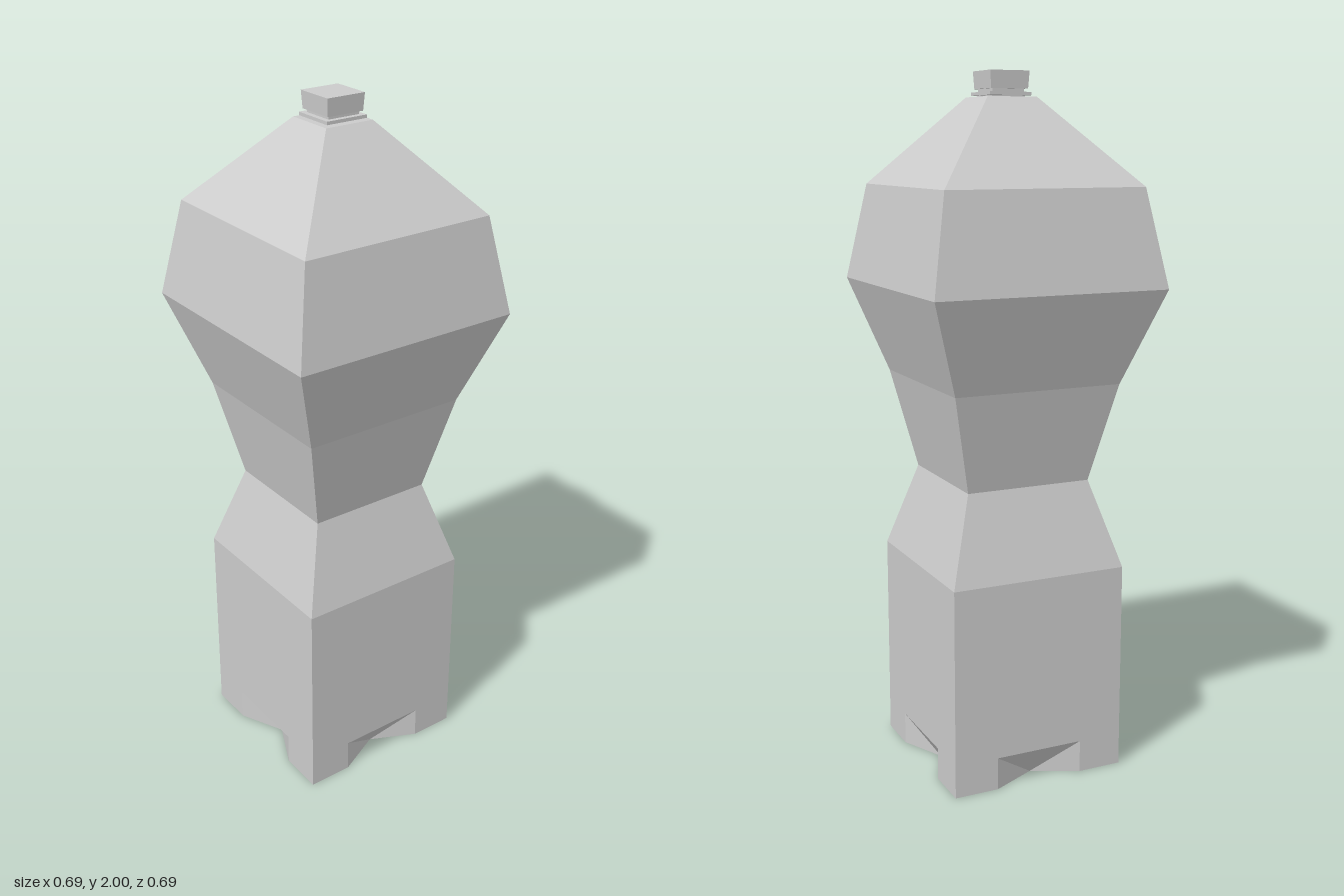
import * as THREE from 'three';

const material = new THREE.MeshStandardMaterial({ color: 0xcccccc, flatShading: true });

function part(name, geometry) {
  const mesh = new THREE.Mesh(geometry, material);
  mesh.name = name;
  return mesh;
}

// Square-section solid from [half width, height] pairs, bottom to top
function squareLoft(name, profile) {
  const points = profile.map(([w, y]) => new THREE.Vector2(w * Math.SQRT2, y));
  const geometry = new THREE.LatheGeometry(points, 4, Math.PI / 4).toNonIndexed();
  geometry.computeVertexNormals();
  return part(name, geometry);
}

const HALF = 0.263;      // half width of the base
const NOTCH = 0.132;     // half width of a foot notch
const NOTCH_H = 0.095;   // height of a foot notch
const NOTCH_IN = 0.063;  // depth of a notch at the floor

// One side of the foot: a strip whose lower middle is pushed inwards
function footSide() {
  const xs = [-HALF, -NOTCH, 0, NOTCH, HALF];
  const bottom = xs.map((x, i) => [x, 0, i === 2 ? HALF - NOTCH_IN : HALF]);
  const top = xs.map((x) => [x, NOTCH_H, HALF]);
  const positions = [];
  for (let i = 0; i < 4; i++) {
    const [a, b, c, d] = [bottom[i], bottom[i + 1], top[i + 1], top[i]];
    const triangles = i < 2 ? [a, b, d, b, c, d] : [a, b, c, a, c, d];
    positions.push(...triangles.flat());
  }
  const geometry = new THREE.BufferGeometry();
  geometry.setAttribute('position', new THREE.Float32BufferAttribute(positions, 3));
  geometry.computeVertexNormals();
  return geometry;
}

export function createModel() {
  const bottle = new THREE.Group();
  bottle.name = 'bottle';

  // Body with waist, bulge and sloping shoulders
  bottle.add(squareLoft('body', [
    [HALF, NOTCH_H], [HALF, 0.61], [0.187, 0.86], [0.25, 1.145],
    [0.345, 1.415], [0.295, 1.69], [0.074, 1.93], [0, 1.93],
  ]));

  // Four notched foot sides and the outline of the underside
  const outline = [];
  for (let i = 0; i < 4; i++) {
    const angle = i * Math.PI / 2;
    const side = part('footSide', footSide());
    side.rotation.y = angle;
    bottle.add(side);
    for (const [x, y] of [[-HALF, -HALF], [-NOTCH, -HALF], [0, NOTCH_IN - HALF], [NOTCH, -HALF]]) {
      outline.push(new THREE.Vector2(x, y).rotateAround(new THREE.Vector2(), angle));
    }
  }

  // Underside
  const underside = part('underside', new THREE.ShapeGeometry(new THREE.Shape(outline)));
  underside.rotation.x = Math.PI / 2;
  bottle.add(underside);

  // Neck with its collar
  bottle.add(squareLoft('neck', [
    [0.05, 1.928], [0.05, 1.934], [0.063, 1.934], [0.063, 1.943], [0.048, 1.943], [0.048, 1.96],
  ]));

  // Cap, slightly wider towards the top
  bottle.add(squareLoft('cap', [[0, 1.952], [0.056, 1.952], [0.059, 2], [0, 2]]));

  return bottle;
}
